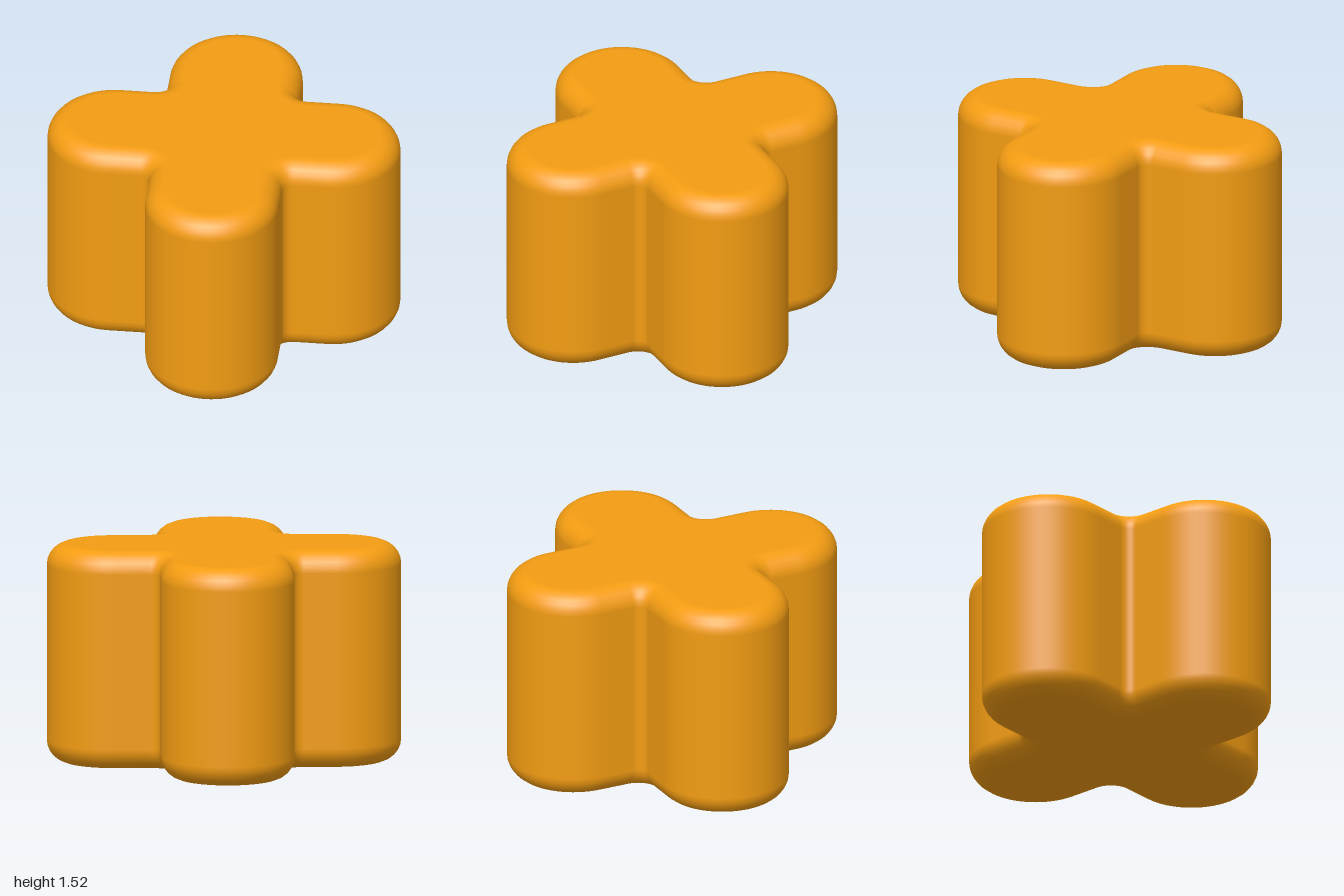
import * as THREE from 'three';

const HEIGHT = 1.525, BEVEL = 0.15;
const LOBE_R = 0.46, LOBE_C = 0.54, FILLET_R = 0.075;
const ARC_STEPS = 32, FILLET_STEPS = 10, BEVEL_STEPS = 6;

// Plan outline as points with outward normals: four round lobes joined by concave fillets
function cloverOutline() {
  const points = [];
  const arc = (cx, cz, r, from, to, steps) => {
    for (let i = 0; i <= steps; i++) {
      const a = from + (to - from) * i / steps;
      const nx = Math.cos(a), nz = Math.sin(a);
      points.push({ x: cx + r * nx, z: cz + r * nz, nx, nz });
    }
  };
  const q = Math.PI / 4;
  const notch = Math.SQRT2 * (LOBE_R + FILLET_R);
  for (let k = 0; k < 4; k++) {
    const dir = q + k * 2 * q, next = dir + q;
    const d = LOBE_C * Math.SQRT2;
    arc(Math.cos(dir) * d, Math.sin(dir) * d, LOBE_R, dir - 2 * q, dir + 2 * q, ARC_STEPS);
    // negative radius: the fillet curves inward, so its normals run backwards
    arc(Math.cos(next) * notch, Math.sin(next) * notch, -FILLET_R, next + q, next - q, FILLET_STEPS);
  }
  return points;
}

// Rings from bottom centre, round the lower bevel, up the wall and over to the top centre
function cloverGeometry() {
  const outline = cloverOutline(), n = outline.length;
  const rings = [];
  for (const side of [-1, 1]) {
    for (let i = 0; i <= BEVEL_STEPS; i++) {
      const t = i / BEVEL_STEPS * Math.PI / 2;
      const a = side < 0 ? t - Math.PI / 2 : t;
      const base = side < 0 ? BEVEL : HEIGHT - BEVEL;
      rings.push({ y: base + BEVEL * Math.sin(a), a, scale: 1 });
    }
  }
  rings.unshift({ y: 0, a: -Math.PI / 2, scale: 0 });
  rings.push({ y: HEIGHT, a: Math.PI / 2, scale: 0 });

  const pos = [], nor = [], index = [];
  rings.forEach(({ y, a, scale }, j) => {
    const inset = BEVEL * (1 - Math.cos(a));
    outline.forEach((p, i) => {
      pos.push((p.x - p.nx * inset) * scale, y, (p.z - p.nz * inset) * scale);
      nor.push(p.nx * Math.cos(a), Math.sin(a), p.nz * Math.cos(a));
      if (j === rings.length - 1) return;
      const i2 = (i + 1) % n, A = j * n + i, B = A + n, C = j * n + i2, D = C + n;
      if (scale) index.push(A, B, C);
      if (rings[j + 1].scale) index.push(B, D, C);
    });
  });
  const geo = new THREE.BufferGeometry();
  geo.setAttribute('position', new THREE.Float32BufferAttribute(pos, 3));
  geo.setAttribute('normal', new THREE.Float32BufferAttribute(nor, 3));
  geo.setIndex(index);
  return geo;
}

export function createModel() {
  const group = new THREE.Group();
  group.name = 'cloverBlock';
  const body = new THREE.Mesh(cloverGeometry(), new THREE.MeshStandardMaterial({ color: 0xf39c12 }));
  body.name = 'fourLobedBody';
  group.add(body);
  return group;
}
